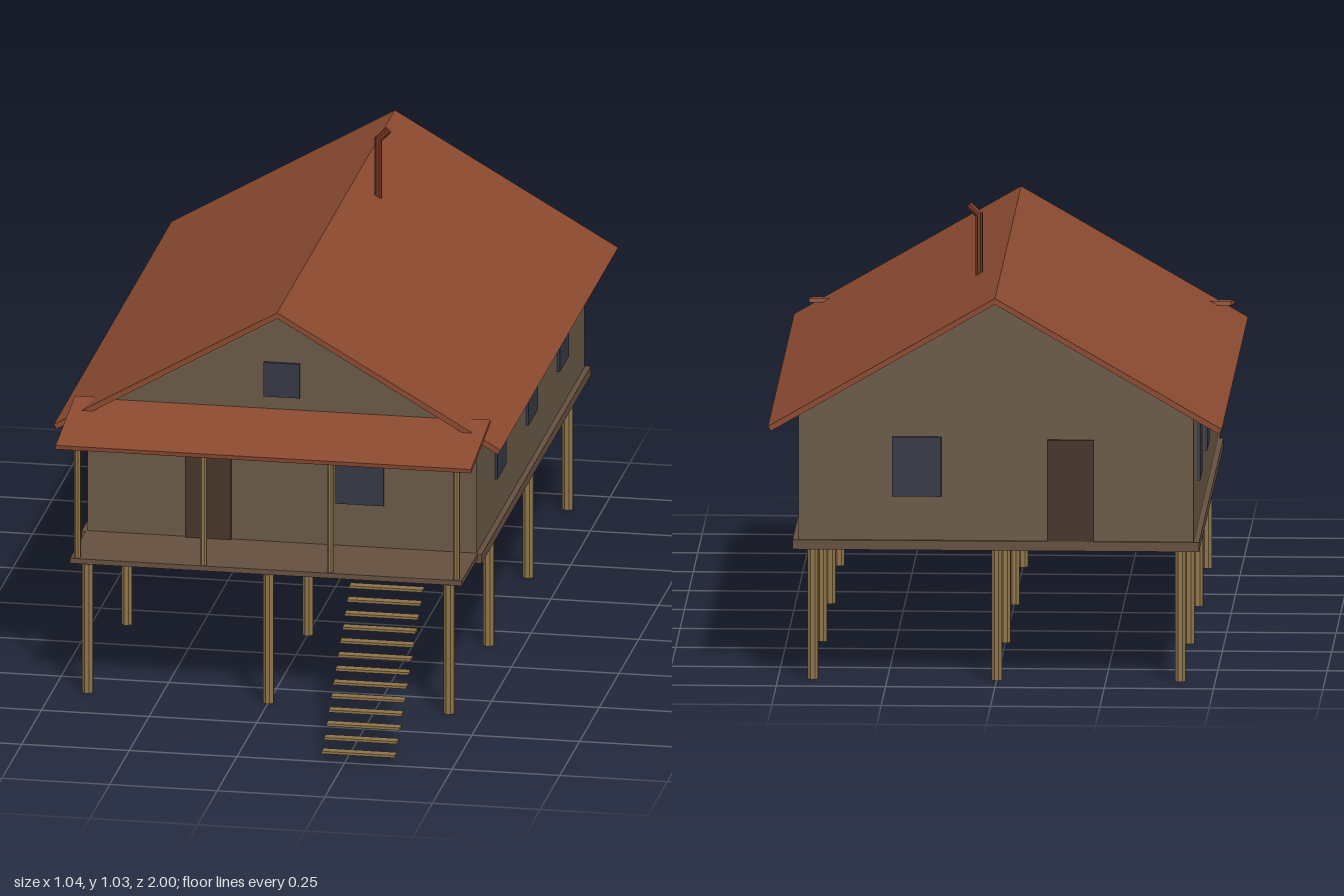
import * as THREE from 'three';

const mat = (name, color) => {
  const m = new THREE.MeshStandardMaterial({ color });
  m.name = name;
  return m;
};

export function createModel() {
  const roofRed = mat('roof red', 0x8b4a30);
  const wallBrown = mat('wall brown', 0x6b5a48);
  const wood = mat('post wood', 0x8f7449);
  const floorBrown = mat('floor brown', 0x665040);
  const doorBrown = mat('door brown', 0x46342a);
  const glass = mat('window glass', 0x353846);
  const rust = mat('chimney rust', 0x743520);

  const model = new THREE.Group();
  model.name = 'stiltHouse';
  const add = (name, geo, m, x = 0, y = 0, z = 0) => {
    const mesh = new THREE.Mesh(geo, m);
    mesh.name = name;
    mesh.position.set(x, y, z);
    model.add(mesh);
    return mesh;
  };
  const box = (name, m, w, h, d, x, y, z) => add(name, new THREE.BoxGeometry(w, h, d), m, x, y, z);
  const pole = (name, m, r, h, x, y, z) => {
    const geo = new THREE.CylinderGeometry(r, r, h, 8).toNonIndexed();
    geo.rotateY(Math.PI / 8);
    geo.computeVertexNormals();
    return add(name, geo, m, x, y + h / 2, z);
  };
  // Extrude an outline in x, y from z0 to z1
  const prism = (name, m, pts, z0, z1) => {
    const shape = new THREE.Shape(pts.map(([x, y]) => new THREE.Vector2(x, y)));
    return add(name, new THREE.ExtrudeGeometry(shape, { depth: z1 - z0, bevelEnabled: false }), m, 0, 0, z0);
  };

  const front = 0.428, back = -0.94, mid = (front + back) / 2, side = 0.452;

  // Stilts
  for (const x of [-0.42, 0, 0.42])
    for (const z of [0.6, 0.1, -0.4, -0.9]) pole('stilt', wood, 0.013, 0.31, x, 0, z);

  // Floor and porch deck
  box('floor', floorBrown, 0.93, 0.022, 1.382, 0, 0.319, mid);
  box('porchDeck', floorBrown, 0.91, 0.012, 0.21, 0, 0.324, 0.527);

  // Walls with gables
  prism('walls', wallBrown, [[-side, 0.33], [side, 0.33], [side, 0.627], [0, 0.888], [-side, 0.627]], back, front);

  // Main roof
  prism('roof', roofRed, [[0, 0.902], [-0.519, 0.602], [-0.512, 0.591], [0, 0.888], [0.512, 0.591], [0.519, 0.602]], -1, 0.49);

  // Porch roof and posts
  box('porchRoof', roofRed, 0.965, 0.01, 0.248, 0, 0.626, 0.5425).rotation.x = 0.16;
  for (const x of [-0.44, -0.147, 0.147, 0.44]) pole('porchPost', wood, 0.008, 0.278, x, 0.33, 0.62);

  // Doors and windows on both ends
  for (const z of [front + 0.003, back - 0.003]) {
    box('door', doorBrown, 0.107, 0.235, 0.008, -0.171, 0.4475, z);
    box('endWindow', glass, 0.112, 0.138, 0.008, 0.181, 0.501, z);
  }
  box('gableWindow', glass, 0.084, 0.082, 0.008, 0, 0.721, front + 0.003);

  // Side windows
  for (const s of [-1, 1])
    for (const z of [0.14, -0.256, -0.65]) box('sideWindow', glass, 0.008, 0.138, 0.115, s * (side + 0.002), 0.501, z);

  // Stair treads
  for (let i = 0; i < 13; i++)
    box('stairTread', wood, 0.17, 0.006, 0.024, 0.282, 0.022 + i * 0.0237, 0.988 - i * 0.029);

  // Chimney pipe with slanted top
  pole('chimneyPipe', rust, 0.009, 0.145, 0.057, 0.865, -0.48);
  pole('chimneyElbow', rust, 0.009, 0.036, 0.068, 0.998, -0.48).rotation.z = -Math.PI / 4;

  return model;
}
